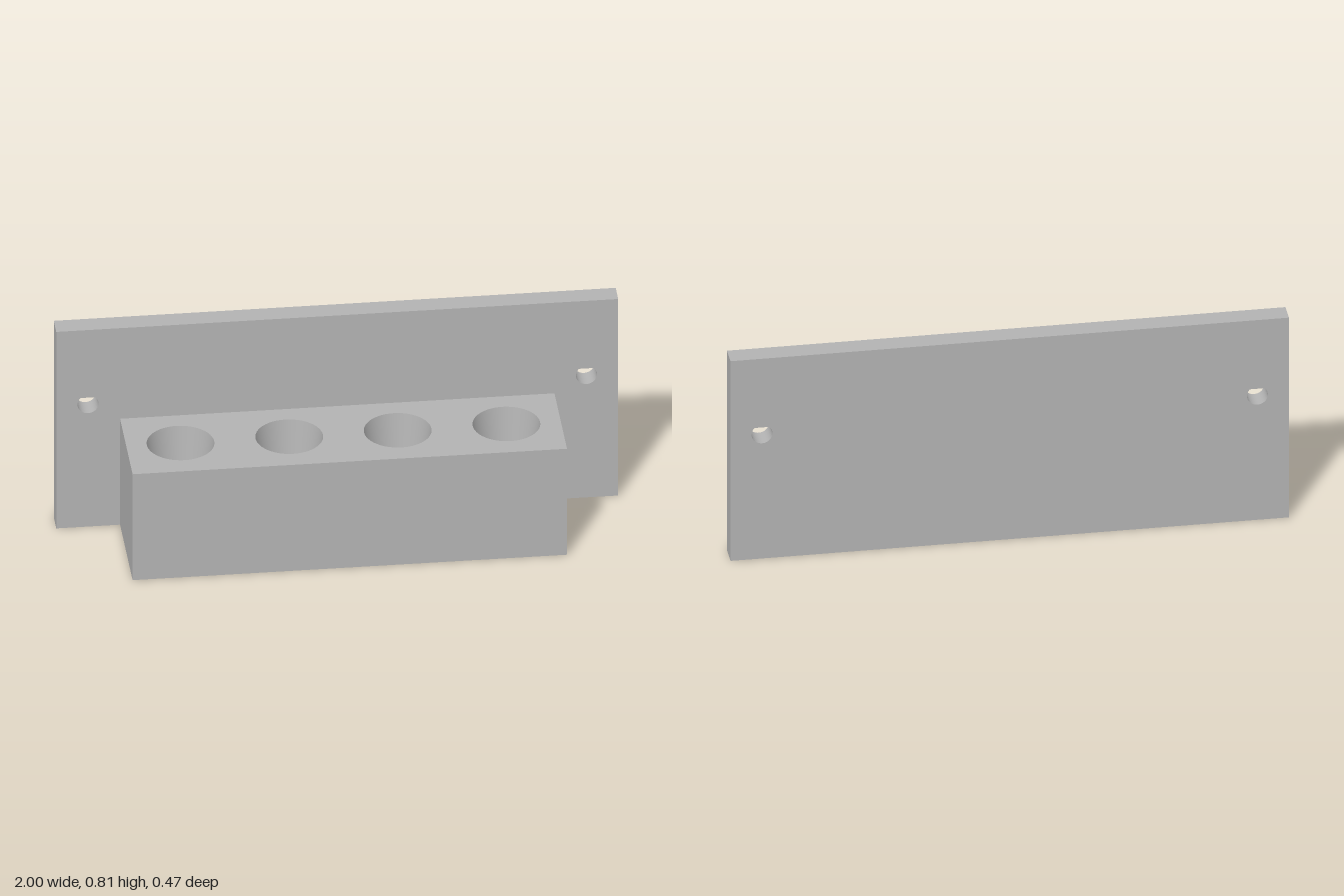
import * as THREE from 'three';

const W = 0.773, H = 0.435, Z0 = -0.155, Z1 = 0.233; // block extents
const HOLE_Z = 0.037, HOLES = [-0.58, -0.193, 0.193, 0.58];
const R_TOP = 0.12, R_SEAT = 0.066, R_DRILL = 0.045, SEAT_Y = 0.08;

function rectangle(x0, y0, x1, y1) {
  return new THREE.Shape([[x0, y0], [x1, y0], [x1, y1], [x0, y1]].map(p => new THREE.Vector2(...p)));
}

// Horizontal face with four round holes, facing up (dir 1) or down (dir -1)
function holedFace(radius, y, dir) {
  const a = -dir * Z0, b = -dir * Z1;
  const shape = rectangle(-W, Math.min(a, b), W, Math.max(a, b));
  for (const x of HOLES) {
    shape.holes.push(new THREE.Path().absarc(x, -dir * HOLE_Z, radius, 0, Math.PI * 2, true));
  }
  return new THREE.ShapeGeometry(shape, 24).rotateX(-dir * Math.PI / 2).translate(0, y, 0);
}

export function createModel() {
  const model = new THREE.Group();
  model.name = 'wallRack';
  const grey = new THREE.MeshStandardMaterial({ color: 0xb2b2b2 });
  grey.name = 'plain grey';
  const add = (parent, name, geometry) => {
    const mesh = new THREE.Mesh(geometry, grey);
    mesh.name = name;
    parent.add(mesh);
    return mesh;
  };

  // Back plate with a teardrop screw hole near each end
  const plateShape = rectangle(-1, 0, 1, 0.807);
  const r = 0.0375, cy = 0.503;
  for (const x of [-0.887, 0.887]) {
    const drop = new THREE.Path();
    drop.moveTo(x, cy + r * Math.SQRT2);
    drop.absarc(x, cy, r, Math.PI * 0.75, Math.PI * 2.25, false);
    drop.closePath();
    plateShape.holes.push(drop);
  }
  add(model, 'backPlate', new THREE.ExtrudeGeometry(plateShape, {
    depth: 0.078, bevelEnabled: false, curveSegments: 24,
  }).translate(0, 0, -0.233));

  // Holder block: outer walls, top and underside
  const block = new THREE.Group();
  block.name = 'holderBlock';
  model.add(block);
  add(block, 'frontWall', new THREE.PlaneGeometry(2 * W, H).translate(0, H / 2, Z1));
  for (const side of [-1, 1]) {
    add(block, side > 0 ? 'leftWall' : 'rightWall', new THREE.PlaneGeometry(Z1 - Z0, H)
      .rotateY(side * Math.PI / 2).translate(side * W, H / 2, (Z0 + Z1) / 2));
  }
  add(block, 'topFace', holedFace(R_TOP, H, 1));
  add(block, 'underside', holedFace(R_DRILL, 0, -1));

  // Tapered sockets: cone, flat seat and drilled hole (profile runs downward so faces look inward)
  const profile = [[R_TOP, H], [R_SEAT, SEAT_Y], [R_DRILL, SEAT_Y], [R_DRILL, 0]]
    .map(p => new THREE.Vector2(...p));
  const sections = ['socketCone', 'socketSeat', 'drainHole'];
  for (const x of HOLES) {
    const socket = new THREE.Group();
    socket.name = 'socket';
    socket.position.set(x, 0, HOLE_Z);
    block.add(socket);
    sections.forEach((name, i) =>
      add(socket, name, new THREE.LatheGeometry(profile.slice(i, i + 2), 48)));
  }
  return model;
}
